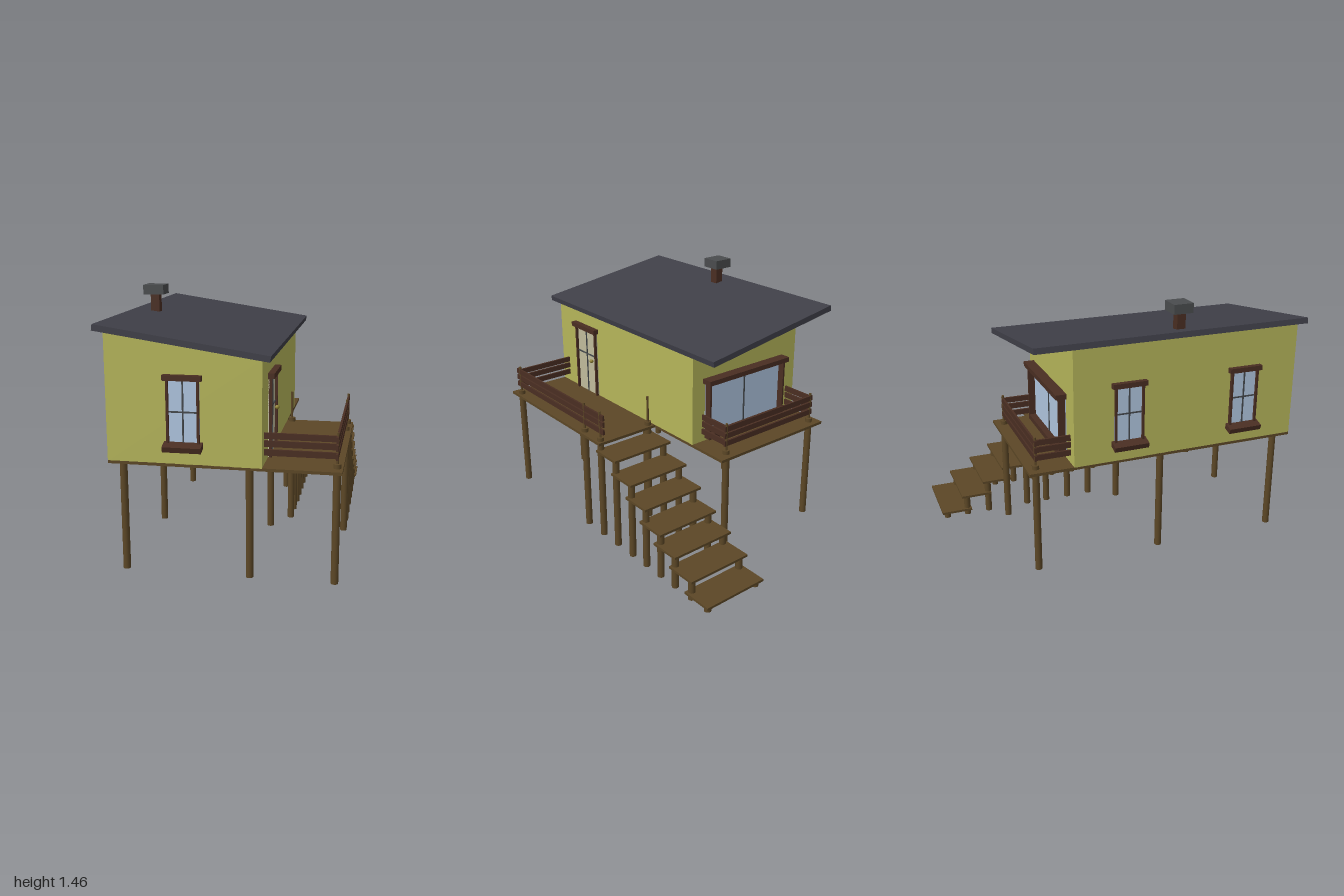
import * as THREE from 'three';

const mat = (color) => new THREE.MeshStandardMaterial({ color });
const MAT = {
  wall: mat(0xb5b55a), roof: mat(0x3f3f48), wood: mat(0x5c4726), trim: mat(0x4a2e22),
  glass: mat(0xb0c6e0), doorGlass: mat(0xc0bc9c), bar: mat(0x44484c), cap: mat(0x4a4c4e), knob: mat(0x8f8030),
};

function add(parent, name, geometry, material, x = 0, y = 0, z = 0) {
  const mesh = new THREE.Mesh(geometry, material);
  mesh.name = name;
  mesh.position.set(x, y, z);
  parent.add(mesh);
  return mesh;
}

// Box given by its minimum and maximum on each axis
function box(parent, name, material, [x0, x1], [y0, y1], [z0, z1]) {
  return add(parent, name, new THREE.BoxGeometry(x1 - x0, y1 - y0, z1 - z0), material,
    (x0 + x1) / 2, (y0 + y1) / 2, (z0 + z1) / 2);
}

function extrude(points, depth) {
  const shape = new THREE.Shape(points.map(([x, y]) => new THREE.Vector2(x, y)));
  return new THREE.ExtrudeGeometry(shape, { depth, bevelEnabled: false });
}

// Round support standing on the ground
function post(parent, name, x, z, top) {
  add(parent, name, new THREE.CylinderGeometry(0.02, 0.02, top, 16), MAT.wood, x, top / 2, z);
}

// Framed opening facing local +z, centred on local x = 0
function opening(parent, name, { half, y0, y1, cross = 0, sill = true, pane = MAT.glass, frame = 0.02, lintel = 0.03 }) {
  const g = new THREE.Group();
  g.name = name;
  parent.add(g);
  const f = 0.012, top = y1 - 0.028;
  box(g, 'pane', pane, [-half, half], [y0, top], [-0.01, 0.005]);
  for (const s of [-1, 1]) {
    const x = s * (half - f / 2);
    box(g, 'sideFrame', MAT.trim, [x - f / 2, x + f / 2], [y0, top], [-0.01, frame]);
  }
  box(g, 'lintel', MAT.trim, [-half - 0.015, half + 0.015], [top, y1], [-0.01, lintel]);
  box(g, 'verticalBar', MAT.bar, [-0.004, 0.004], [y0, top], [0, 0.01]);
  if (cross) box(g, 'crossBar', MAT.bar, [-half + f, half - f], [cross - 0.004, cross + 0.004], [0, 0.01]);
  if (sill) {
    const s = add(g, 'sill', new THREE.BoxGeometry(half * 2 + 0.03, 0.03, 0.062), MAT.trim, 0, y0 + 0.018, 0.026);
    s.rotation.x = 0.28;
  }
  return g;
}

// Three boards between two points on the deck
function railing(parent, name, [xa, za], [xb, zb]) {
  const g = new THREE.Group();
  g.name = name;
  parent.add(g);
  const length = Math.hypot(xb - xa, zb - za);
  for (const y of [0.686, 0.732, 0.773]) {
    const board = add(g, 'railBoard', new THREE.BoxGeometry(length, 0.032, 0.012), MAT.trim,
      (xa + xb) / 2, y, (za + zb) / 2);
    board.rotation.y = -Math.atan2(zb - za, xb - xa);
  }
}

export function createModel() {
  const model = new THREE.Group();
  model.name = 'stiltCabin';

  // L-shaped deck, leaving a notch for the stairs
  const deck = add(model, 'deck', extrude([[-0.575, -0.945], [0.63, -0.945], [0.63, 0.055],
    [0.23, 0.055], [0.23, 0.65], [-0.575, 0.65]], 0.016), MAT.wood, 0, 0.606, 0);
  deck.rotation.x = -Math.PI / 2;

  // House body with sloping top
  add(model, 'walls', extrude([[-0.575, 0.62], [0.23, 0.62], [0.23, 1.175], [-0.575, 1.292]], 1.345),
    MAT.wall, 0, 0, -0.4);

  // Slanted roof slab
  add(model, 'roof', extrude([[-0.623, 1.298], [0.273, 1.165], [0.278, 1.196], [-0.618, 1.33]], 1.6),
    MAT.roof, 0, 0, -0.62);

  // Chimney
  box(model, 'chimney', MAT.trim, [-0.53, -0.48], [1.25, 1.412], [0.21, 0.26]);
  box(model, 'chimneyCap', MAT.cap, [-0.565, -0.447], [1.41, 1.464], [0.173, 0.287]);

  // Windows
  const small = { half: 0.085, y0: 0.7, y1: 1.085, cross: 0.895 };
  opening(model, 'frontWindow', small).position.set(-0.17, 0, 0.945);
  for (const z of [-0.085, 0.615]) {
    const w = opening(model, 'leftWindow', { ...small, y1: 1.076 });
    w.position.set(-0.575, 0, z);
    w.rotation.y = -Math.PI / 2;
  }
  const back = opening(model, 'backWindow',
    { half: 0.295, y0: 0.645, y1: 1.005, sill: false, frame: 0.045, lintel: 0.062 });
  back.position.set(-0.155, 0, -0.4);
  back.rotation.y = Math.PI;
  box(back, 'bottomFrame', MAT.trim, [-0.295, 0.295], [0.64, 0.67], [-0.01, 0.045]);

  // Glazed door with knob
  const door = opening(model, 'door', { half: 0.11, y0: 0.62, y1: 1.07, cross: 0.88,
    sill: false, pane: MAT.doorGlass, lintel: 0.035 });
  door.position.set(0.23, 0, 0.64);
  door.rotation.y = Math.PI / 2;
  add(door, 'doorKnob', new THREE.SphereGeometry(0.012, 16, 12), MAT.knob, 0.068, 0.85, 0.022);

  // Supports under the house
  for (const x of [-0.515, 0.155])
    for (const z of [0.875, 0.135, -0.6]) post(model, 'housePost', x, z, 0.61);

  // Supports under the side deck
  const sidePosts = [[0.6, 0.875], [0.6, 0.135], [0.6, -0.025], [0.26, -0.025]];
  for (const [x, z] of sidePosts) post(model, 'deckPost', x, z, 0.61);

  // Collars and thin rods carrying the railings
  for (const [x, z] of [...sidePosts, [-0.515, -0.6], [0.155, -0.6]]) {
    add(model, 'postCollar', new THREE.CylinderGeometry(0.02, 0.02, 0.026, 16), MAT.wood, x, 0.632, z);
    add(model, 'railRod', new THREE.CylinderGeometry(0.007, 0.007, 0.19, 12), MAT.wood, x, 0.71, z);
  }

  // Railings
  railing(model, 'frontRailing', [0.23, 0.875], [0.605, 0.875]);
  railing(model, 'sideRailing', [0.6, 0.91], [0.6, -0.063]);
  railing(model, 'backRailing', [-0.53, -0.6], [0.17, -0.6]);
  railing(model, 'backLeftRailing', [0.155, -0.4], [0.155, -0.605]);
  railing(model, 'backRightRailing', [-0.515, -0.4], [-0.515, -0.605]);

  // Stairs: [tread height, near z, far z], each on two posts near its far edge
  const treads = [[0.562, -0.02, -0.205], [0.472, -0.165, -0.35], [0.378, -0.297, -0.48], [0.283, -0.425, -0.61],
    [0.206, -0.55, -0.735], [0.128, -0.685, -0.872], [0.038, -0.815, -1]];
  const stairs = new THREE.Group();
  stairs.name = 'stairs';
  model.add(stairs);
  for (const [y, near, far] of treads) {
    box(stairs, 'tread', MAT.wood, [0.23, 0.63], [y - 0.007, y + 0.007], [far, near]);
    for (const x of [0.26, 0.6]) post(stairs, 'stairPost', x, far + 0.034, y);
  }
  return model;
}
